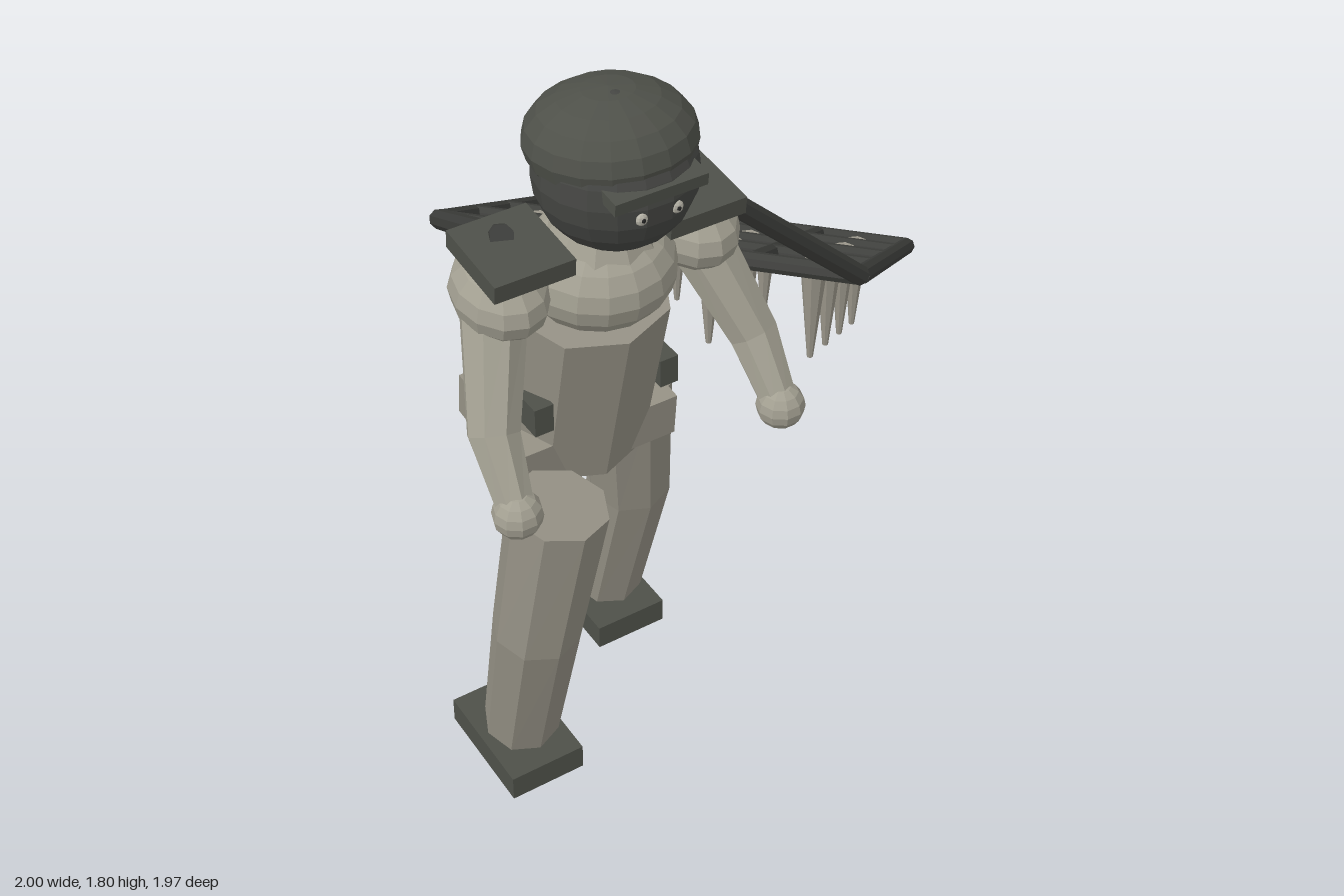
import * as THREE from 'three';

const V = (x, y, z) => new THREE.Vector3(x, y, z);
const UP = V(0, 1, 0);
const mat = (name, color) => new THREE.MeshStandardMaterial({ name, color, flatShading: true });

// Faceted tube through a few points, mitred at the joints, with capped ends
function limbGeometry(points, radii, sides = 8) {
  const n = points.length - 1;
  const geo = new THREE.CylinderGeometry(1, 1, 1, sides, n);
  const turns = points.map((p, i) => {
    const dir = points[Math.max(i - 1, 0)].clone().sub(points[Math.min(i + 1, n)]).normalize();
    return new THREE.Quaternion().setFromUnitVectors(UP, dir);
  });
  const pos = geo.attributes.position, v = V(0, 0, 0);
  for (let k = 0; k < pos.count; k++) {
    v.fromBufferAttribute(pos, k);
    const i = Math.round((0.5 - v.y) * n);
    v.setY(0).multiplyScalar(radii[i]).applyQuaternion(turns[i]).add(points[i]);
    pos.setXYZ(k, v.x, v.y, v.z);
  }
  geo.computeVertexNormals();
  return geo;
}

export function createModel() {
  const model = new THREE.Group();
  model.name = 'workerPullingHarrow';
  const cloth = mat('cloth', 0x959185);
  const skin = mat('lightCloth', 0xa29f91);
  const dark = mat('darkGear', 0x4e5049);
  const face = mat('faceCover', 0x454643);
  const iron = mat('iron', 0x3f403d);
  const steel = mat('spikeSteel', 0x9a968a);
  const eyeWhite = mat('eyeWhite', 0xb5b2a6);
  const pupil = mat('pupil', 0x222222);

  const add = (parent, name, geo, material, p = [0, 0, 0], rx = 0, s = [1, 1, 1]) => {
    const m = new THREE.Mesh(geo, material);
    m.name = name;
    m.position.set(...p);
    m.rotation.x = rx;
    m.scale.set(...s);
    parent.add(m);
    return m;
  };
  const ball = (w = 14, h = 10) => new THREE.SphereGeometry(1, w, h);
  const box = (x, y, z) => new THREE.BoxGeometry(x, y, z);
  const limb = (parent, name, pts, radii, material, sides) =>
    add(parent, name, limbGeometry(pts, radii, sides), material);

  // Figure, centred on its own x axis
  const man = new THREE.Group();
  man.name = 'figure';
  man.position.x = -0.617;
  model.add(man);

  // Head, cap and eyes
  add(man, 'head', ball(18, 12), face, [0, 1.635, 0.795], 0, [0.17, 0.17, 0.17]);
  add(man, 'cap', ball(18, 10), dark, [0, 1.697, 0.777], -0.06, [0.177, 0.108, 0.177]);
  add(man, 'capBrim', box(0.21, 0.028, 0.1), dark, [0, 1.668, 0.917], 0.12);
  for (const s of [-1, 1]) {
    add(man, 'eye', ball(8, 6), eyeWhite, [s * 0.04, 1.615, 0.957], 0, [0.014, 0.014, 0.008]);
    add(man, 'pupil', ball(6, 4), pupil, [s * 0.04, 1.615, 0.964], 0, [0.005, 0.005, 0.004]);
  }

  // Trunk, leaning into the pull
  add(man, 'neck', new THREE.CylinderGeometry(0.09, 0.14, 0.09, 10), skin, [0, 1.44, 0.73], 0.1);
  add(man, 'chest', ball(16, 10), skin, [0, 1.355, 0.72], 0.1, [0.168, 0.122, 0.163]);
  add(man, 'torso', new THREE.CylinderGeometry(0.18, 0.17, 0.44, 8), cloth, [0, 1.045, 0.64], 0.22, [1, 1, 0.88]);
  add(man, 'hips', box(0.385, 0.11, 0.29), cloth, [0, 0.882, 0.573], 0.1);

  // Shoulders, pads, arms and belt pouches
  for (const s of [-1, 1]) {
    add(man, 'shoulder', ball(12, 8), skin, [s * 0.228, 1.368, 0.715], 0.1, [0.098, 0.085, 0.125]);
    add(man, 'shoulderPad', box(0.183, 0.042, 0.2), dark, [s * 0.203, 1.46, 0.725], 0.1);
    const hand = V(s * 0.322, 0.985, 0.93);
    limb(man, 'arm', [V(s * 0.235, 1.36, 0.705), V(s * 0.315, 1.12, 0.83), hand], [0.075, 0.057, 0.04], skin);
    add(man, 'hand', ball(10, 8), skin, hand.toArray(), 0, [0.054, 0.052, 0.054]);
    add(man, 'beltPouch', box(0.045, 0.07, 0.2), dark, [s * 0.155, 1.025, 0.65]);
  }

  // Legs in mid stride: [side, hip z, knee z, ankle z, foot z]
  for (const [s, hz, kz, az, fz] of [[-1, 0.83, 0.785, 0.68, 0.655], [1, 0.53, 0.48, 0.375, 0.35]]) {
    limb(man, 'leg', [V(s * 0.173, 0.86, hz), V(s * 0.213, 0.495, kz), V(s * 0.207, 0.107, az)],
      [0.112, 0.1, 0.089], cloth);
    add(man, 'foot', box(0.185, 0.063, 0.29), dark, [s * 0.207, 0.032, fz]);
  }

  // Harrow frame: a sloping grid of crossed bars
  const harrow = new THREE.Group();
  harrow.name = 'harrow';
  model.add(harrow);
  const topA = V(-0.51, 0.865, -0.24), topB = V(0.232, 0.865, 0.515);
  const across = topB.clone().sub(topA);
  const down = V(0.753, -0.637, -0.733);
  const at = (u, v) => topA.clone().addScaledVector(across, u).addScaledVector(down, v);
  const cells = 4, barR = 0.024;
  for (let i = 0; i <= cells; i++) {
    const t = i / cells;
    limb(harrow, 'crossBar', [at(0, t), at(1, t)], [barR, barR], iron);
    limb(harrow, 'longBar', [at(t, 0), at(t, 1)], [barR, barR], iron);
  }

  // One spike hanging in the middle of every cell
  const spikeGeo = new THREE.CylinderGeometry(0.035, 0.008, 0.29, 8);
  for (let i = 0; i < cells; i++) {
    for (let j = 0; j < cells; j++) {
      const p = at((i + 0.5) / cells, (j + 0.5) / cells);
      add(harrow, 'spike', spikeGeo, steel, [p.x, p.y - 0.145, p.z]);
    }
  }

  // Pulling poles from the shoulder pads to the upper frame corners
  for (const [s, corner] of [[-1, topA], [1, topB]]) {
    limb(harrow, 'pullPole', [V(-0.617 + s * 0.21, 1.49, 0.705), corner], [0.026, 0.026], iron);
  }
  return model;
}
